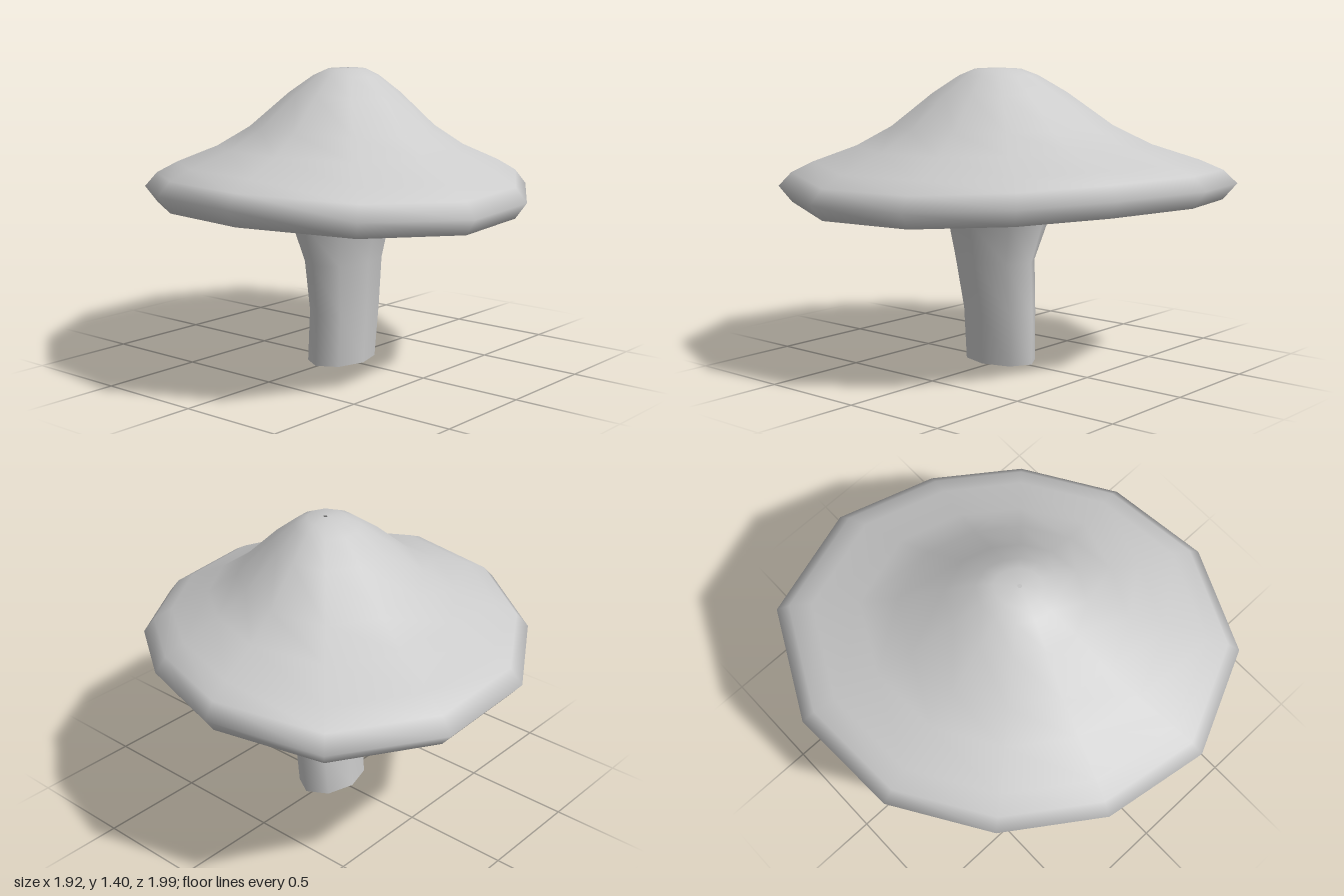
import * as THREE from 'three';

const material = new THREE.MeshStandardMaterial({ color: 0xcccccc, side: THREE.DoubleSide });

// Smooth skin over closed rings of [x, y, z], ordered from the top down.
// A ring whose points coincide closes an end.
function loft(name, rings) {
  const n = rings[0].length;
  const index = [];
  for (let i = 0; i < rings.length - 1; i++) {
    for (let j = 0; j < n; j++) {
      const k = (j + 1) % n;
      const a = i * n + j, b = i * n + k, c = a + n, d = b + n;
      index.push(a, b, c, b, d, c);
    }
  }
  const geometry = new THREE.BufferGeometry();
  geometry.setAttribute('position', new THREE.Float32BufferAttribute(rings.flat(2), 3));
  geometry.setIndex(index);
  geometry.computeVertexNormals();
  const mesh = new THREE.Mesh(geometry, material);
  mesh.name = name;
  return mesh;
}

// Irregular twelve-sided rim [x, z], clockwise seen from above
const rim = [
  [-0.18, -1.0], [0.28, -0.86], [0.64, -0.61], [0.9, -0.21], [0.96, 0.28], [0.73, 0.76],
  [0.24, 0.99], [-0.26, 0.91], [-0.67, 0.62], [-0.94, 0.18], [-0.96, -0.36], [-0.7, -0.85],
];

// Cap profile [share of rim radius, height], from the peak over the lip to the hollow
const capProfile = [
  [0.01, 1.4], [0.1, 1.395], [0.17, 1.365], [0.29, 1.285], [0.48, 1.13], [0.64, 1.04],
  [0.84, 0.965], [0.94, 0.915], [1, 0.85], [0.94, 0.775], [0.88, 0.77],
  [0.6, 0.84], [0.38, 0.91], [0.2, 0.96], [0.01, 0.98],
];

function createCap() {
  return loft('cap', capProfile.map(([share, height]) => rim.map(([x, z]) => {
    // Front and back of the rim lift, the sides droop; the peak leans to one side
    const saddle = 0.03 * share * share * (z * z - x * x);
    const lean = 0.05 * (1 - share);
    return [x * share + lean, height + saddle, z * share];
  })));
}

// Stem sections [height, centre x, centre z, radius x, radius z]
const stemSections = [
  [0.98, 0.04, 0.02, 0.12, 0.14], [0.9, 0.04, 0.02, 0.22, 0.24], [0.8, 0.035, 0.025, 0.25, 0.29],
  [0.7, 0.02, 0.015, 0.21, 0.27], [0.5, 0.04, 0.02, 0.15, 0.22],
  [0.26, 0.03, 0.0, 0.135, 0.2], [0.01, 0.015, 0.005, 0.135, 0.19],
];

function stemRing([y, cx, cz, rx, rz]) {
  return Array.from({ length: 8 }, (_, j) => {
    const angle = (j / 8) * Math.PI * 2;
    return [cx + rx * Math.cos(angle), y, cz + rz * Math.sin(angle)];
  });
}

export function createModel() {
  const group = new THREE.Group();
  group.name = 'mushroom';
  group.add(createCap());
  group.add(loft('stem', stemSections.map(stemRing)));

  // Flat cut at the foot, with its own vertices to keep a crisp edge
  const foot = stemSections[stemSections.length - 1];
  const [y, cx, cz] = foot;
  group.add(loft('stemFoot', [stemRing(foot), stemRing([y - 0.01, cx, cz, 0.001, 0.001])]));
  return group;
}
